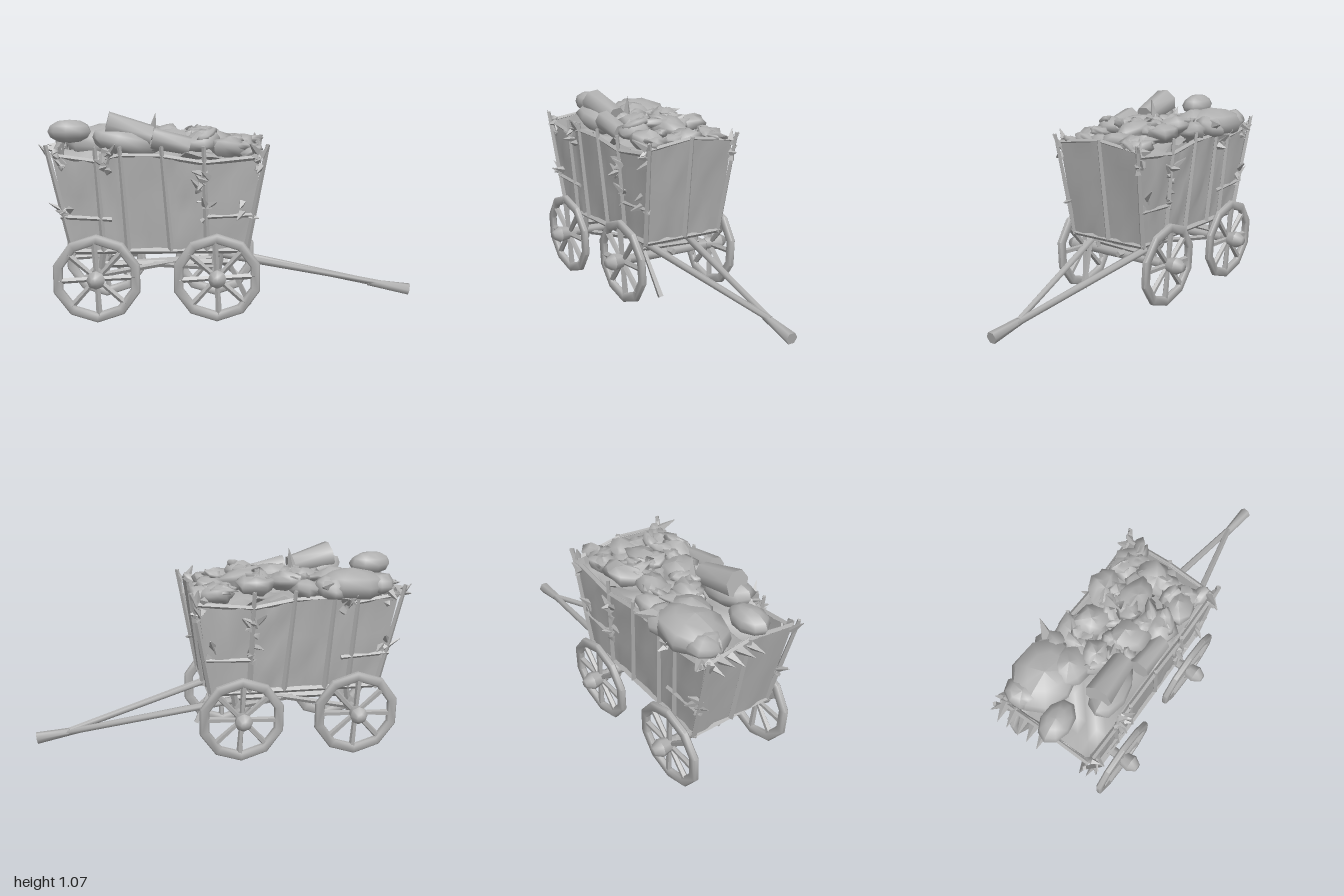
import * as THREE from 'three';
import { toCreasedNormals } from 'three/addons/utils/BufferGeometryUtils.js';

const wood = new THREE.MeshStandardMaterial({ color: 0xb0b0b0, side: THREE.DoubleSide });
wood.name = 'plain grey';
const V = (p) => new THREE.Vector3(...p);
const UP = new THREE.Vector3(0, 1, 0);

// Repeatable pseudo-random value in -1..1
function hash(a, b = 0, c = 0) {
  const s = Math.sin(a * 127.1 + b * 311.7 + c * 74.7) * 43758.5453;
  return (s - Math.floor(s)) * 2 - 1;
}

function add(parent, name, geo) {
  const m = new THREE.Mesh(geo, wood);
  m.name = name;
  parent.add(m);
  return m;
}

// Tapered pole from point a to point b
function beam(parent, name, a, b, r0, r1 = r0, sides = 4) {
  const A = V(a), B = V(b), d = B.clone().sub(A);
  const g = toCreasedNormals(new THREE.CylinderGeometry(r1, r0, d.length(), sides), 1.2);
  const m = add(parent, name, g);
  m.position.copy(A).add(B).multiplyScalar(0.5);
  m.quaternion.setFromUnitVectors(UP, d.normalize());
}

// Board with corners bottom a, b and top c (over a), d (over b), slightly warped
function board(parent, name, a, b, c, d, warp = 0.008) {
  const g = new THREE.BoxGeometry(1, 1, 0.016, 4, 5, 1);
  const [A, B, C, D] = [a, b, c, d].map(V);
  const n = B.clone().sub(A).cross(C.clone().sub(A)).normalize();
  const p = g.attributes.position;
  for (let i = 0; i < p.count; i++) {
    const u = p.getX(i) + 0.5, v = p.getY(i) + 0.5;
    const q = A.clone().lerp(B, u).lerp(C.clone().lerp(D, u), v);
    const bump = Math.sin(u * Math.PI) * hash(Math.round(u * 4) + a[0], Math.round(v * 5), a[2]);
    q.addScaledVector(n, p.getZ(i) + warp * bump);
    p.setXYZ(i, q.x, q.y, q.z);
  }
  g.computeVertexNormals();
  add(parent, name, g);
}

// Lumpy bundle
function lump(parent, name, pos, size, rot, seed, rough = 0.16) {
  const g = new THREE.SphereGeometry(1, 9, 6);
  const p = g.attributes.position;
  for (let i = 0; i < p.count; i++) {
    const x = p.getX(i), y = p.getY(i), z = p.getZ(i);
    const k = 1 + rough * hash(Math.round(x * 50) + seed, Math.round(y * 50), Math.round(z * 50));
    p.setXYZ(i, x * k, y * k, z * k);
  }
  g.computeVertexNormals();
  const m = add(parent, name, g);
  m.scale.set(...size);
  m.position.set(...pos);
  m.rotation.set(...rot);
}

// Eight-spoked wheel with a ten-sided rim
function wheel(parent, x, side) {
  const w = new THREE.Group();
  w.name = 'wheel';
  const ring = (r) => Array.from({ length: 10 }, (_, i) => {
    const a = (i + 0.5) * Math.PI / 5;
    return new THREE.Vector2(Math.cos(a) * r, Math.sin(a) * r);
  });
  const rim = new THREE.Shape(ring(0.224));
  rim.holes.push(new THREE.Path(ring(0.19)));
  const g = new THREE.ExtrudeGeometry(rim, { depth: 0.016, bevelEnabled: true, bevelSize: 0.008, bevelThickness: 0.008, bevelSegments: 1 });
  g.translate(0, 0, -0.008);
  add(w, 'rim', toCreasedNormals(g, 0.9));
  for (let i = 0; i < 8; i++) {
    const a = i * Math.PI / 4 + 0.05;
    beam(w, 'spoke', [0, 0, 0], [Math.cos(a) * 0.195, Math.sin(a) * 0.195, 0], 0.013, 0.017, 5);
  }
  w.position.set(x, 0.23, side * 0.286);
  w.rotation.x = side * 0.05;
  parent.add(w);
  // hub swells outward then closes to a blunt tip
  beam(parent, 'hub', [x, 0.235, side * 0.25], [x, 0.235, side * 0.345], 0.03, 0.048, 8);
  beam(parent, 'hubCap', [x, 0.235, side * 0.345], [x, 0.235, side * 0.388], 0.048, 0.022, 8);
}

export function createModel() {
  const cart = new THREE.Group();
  cart.name = 'loadedCart';
  const group = (name) => {
    const g = new THREE.Group();
    g.name = name;
    cart.add(g);
    return g;
  };

  // Running gear
  const gear = group('runningGear');
  for (const x of [-0.68, -0.065]) {
    for (const s of [1, -1]) {
      wheel(gear, x, s);
      beam(gear, 'strut', [x, 0.19, s * 0.165], [x + 0.03, 0.36, s * 0.19], 0.016);
    }
    beam(gear, 'axle', [x, 0.235, -0.28], [x, 0.235, 0.28], 0.028, 0.028, 6);
    add(gear, 'bolster', new THREE.BoxGeometry(0.08, 0.06, 0.12)).position.set(x, 0.325, -0.005);
    beam(gear, 'crossBeam', [x, 0.265, -0.2], [x, 0.285, 0.18], 0.022);
  }
  for (const s of [1, -1]) {
    beam(gear, 'rearBrace', [-0.68, 0.215, s * 0.14], [-0.25, 0.265, s * 0.02], 0.014);
    beam(gear, 'frontBrace', [-0.065, 0.25, s * 0.14], [-0.4, 0.245, s * 0.02], 0.014);
  }
  beam(gear, 'reach', [-0.72, 0.24, 0], [0, 0.25, 0], 0.018);
  beam(gear, 'prop', [0.0, 0.29, 0.19], [0.11, 0.055, 0.155], 0.012, 0.017);

  // Forked drawbar
  const bar = group('drawbar');
  beam(bar, 'shaft', [-0.06, 0.335, 0.18], [0.82, 0.125, -0.02], 0.02, 0.016, 6);
  beam(bar, 'shaft', [-0.06, 0.29, -0.14], [0.84, 0.115, -0.02], 0.021, 0.017, 6);
  beam(bar, 'grip', [0.77, 0.126, -0.02], [0.994, 0.088, -0.008], 0.018, 0.032, 6);

  // Flared box: floor, end boards and side boards
  const box = group('cartBox');
  add(box, 'floor', new THREE.BoxGeometry(0.89, 0.02, 0.46)).position.set(-0.355, 0.36, 0);
  for (const [name, xb, xt] of [['frontEnd', 0.085, 0.16], ['rearEnd', -0.80, -0.89]]) {
    const out = Math.sign(xb);
    for (const s of [1, -1]) {
      board(box, name, [xb, 0.36, 0], [xb, 0.36, s * 0.222], [xt, 0.91, 0], [xt, 0.875, s * 0.252]);
      beam(box, 'cornerPost', [xb, 0.35, s * 0.23], [xt + out * 0.035, 0.915, s * 0.27], 0.017, 0.011);
      beam(box, 'topRail', [xt, 0.905, 0], [xt, 0.87, s * 0.265], 0.012);
    }
    beam(box, 'middlePost', [xb + out * 0.01, 0.36, -0.008], [xt + out * 0.01, 0.915, -0.005], 0.017, 0.012);
    beam(box, 'sill', [xb, 0.36, -0.24], [xb, 0.36, 0.235], 0.018);
  }
  // bottom x, top x and top height at each side post
  const posts = [[-0.80, -0.89, 0.86], [-0.645, -0.68, 0.83], [-0.52, -0.555, 0.86], [-0.30, -0.345, 0.855], [-0.115, -0.13, 0.82], [0.085, 0.16, 0.85]];
  for (const s of [1, -1]) {
    posts.forEach(([xb, xt, yt], i) => {
      if (i < 5) {
        const [xb2, xt2, yt2] = posts[i + 1];
        board(box, 'sideBoard', [xb, 0.36, s * 0.222], [xb2, 0.36, s * 0.222], [xt, yt, s * 0.255], [xt2, yt2, s * 0.255], 0.012);
        beam(box, 'sideRail', [xt, yt, s * 0.26], [xt2, yt2, s * 0.26], 0.013);
      }
      if (i > 0 && i < 5) beam(box, 'sidePost', [xb, 0.36, s * 0.232], [xt, 0.905, s * 0.27], 0.016, 0.011);
    });
    beam(box, 'sill', [-0.8, 0.362, s * 0.228], [0.09, 0.362, s * 0.228], 0.016);
    beam(box, 'lowRail', [-0.86, 0.545, s * 0.245], [-0.6, 0.53, s * 0.245], 0.012);
    beam(box, 'lowRail', [-0.12, 0.54, s * 0.245], [0.13, 0.55, s * 0.245], 0.012);
  }

  // Splintered wood and twigs around posts and corners
  const thorns = group('splinters');
  const spots = [[-0.62, 0.83, 10], [-0.13, 0.73, 8], [-0.12, 0.57, 5], [-0.84, 0.58, 3], [0.09, 0.57, 3], [0.15, 0.82, 6], [-0.86, 0.83, 5]];
  for (const s of [1, -1]) {
    spots.forEach(([x, y, n], k) => {
      const z = 0.22 + (y - 0.36) * 0.075;
      for (let i = 0; i < n; i++) {
        const h = (j) => hash(k * 13 + i, j, s);
        const a = [x + h(1) * 0.025, y + h(2) * 0.06, s * z];
        const b = [a[0] + h(3) * 0.05, a[1] + h(4) * 0.05 + 0.015, s * (z + 0.035 + h(5) * 0.03)];
        beam(thorns, 'splinter', a, b, 0.023, 0.003);
      }
    });
    beam(thorns, 'splinter', [0.17, 0.85, s * 0.26], [0.2, 0.915, s * 0.28], 0.02, 0.006);
    beam(thorns, 'splinter', [-0.83, 0.57, s * 0.24], [-0.92, 0.62, s * 0.25], 0.022, 0.001);
    beam(thorns, 'splinter', [-0.9, 0.85, s * 0.25], [-0.96, 0.92, s * 0.265], 0.02, 0.001);
  }
  for (let i = 0; i < 5; i++) {
    const z = -0.24 + i * 0.06;
    beam(thorns, 'splinter', [-0.88, 0.87, z], [-0.98, 0.88 + hash(i, 4) * 0.04, z + 0.02], 0.028, 0.001);
  }

  // Load: uneven bed with a hollow at the rear corner
  const load = group('load');
  const bed = new THREE.PlaneGeometry(1.0, 0.48, 14, 8).rotateX(-Math.PI / 2).translate(-0.365, 0, 0);
  const bp = bed.attributes.position;
  for (let i = 0; i < bp.count; i++) {
    const hollow = bp.getX(i) < -0.72 && bp.getZ(i) > 0.05;
    bp.setY(i, (hollow ? 0.76 : 0.845) + 0.035 * hash(i, 7));
  }
  bed.computeVertexNormals();
  add(load, 'loadBed', bed);

  // Large sacks and rolls
  lump(load, 'largeSack', [-0.67, 0.895, -0.16], [0.21, 0.085, 0.16], [0.1, 0.1, 0.03], 3, 0.1);
  lump(load, 'sackFold', [-0.57, 0.915, -0.09], [0.11, 0.06, 0.1], [0.1, 0.5, -0.1], 4, 0.16);
  lump(load, 'sackFold', [-0.8, 0.905, -0.19], [0.09, 0.06, 0.1], [0, 0.4, 0.1], 6, 0.2);
  lump(load, 'sackFold', [-0.55, 0.9, -0.23], [0.09, 0.06, 0.08], [0, -0.3, 0.1], 9, 0.2);
  lump(load, 'roundSack', [-0.83, 0.965, 0.04], [0.115, 0.062, 0.08], [0, 0.1, 0], 5, 0.03);
  beam(load, 'bigRoll', [-0.63, 1.005, 0.135], [-0.4, 0.945, 0.115], 0.073, 0.058, 7);
  lump(load, 'longRoll', [-0.55, 0.915, 0.15], [0.16, 0.07, 0.09], [0, 0.1, -0.2], 8, 0.08);
  beam(load, 'smallRoll', [-0.39, 0.94, 0.2], [-0.2, 0.9, 0.2], 0.055, 0.048, 7);
  // x, y, z, then half sizes of the smaller bundles
  const bundles = [
    [-0.32, 0.93, -0.14, 0.1, 0.05, 0.08], [-0.28, 0.92, 0.05, 0.12, 0.05, 0.1],
    [-0.15, 0.92, 0.16, 0.1, 0.05, 0.08], [-0.15, 0.92, -0.18, 0.11, 0.05, 0.09],
    [-0.1, 0.925, -0.03, 0.12, 0.05, 0.08], [0.0, 0.885, 0.16, 0.1, 0.055, 0.08],
    [0.06, 0.88, -0.02, 0.09, 0.05, 0.1], [0.05, 0.875, -0.18, 0.09, 0.045, 0.08],
    [-0.45, 0.9, -0.02, 0.1, 0.07, 0.08], [-0.42, 0.89, -0.2, 0.1, 0.05, 0.08],
  ];
  bundles.forEach(([x, y, z, a, b, c], i) =>
    lump(load, 'bundle', [x, y, z], [a, b, c], [hash(i, 1) * 0.3, hash(i, 2), hash(i, 3) * 0.25], i + 20, 0.22));
  // crumpled scraps lying over the heap
  for (let i = 0; i < 34; i++) {
    const x = -0.17 + hash(i, 11) * 0.3, z = hash(i, 12) * 0.22;
    const y = 0.92 - Math.max(0, x + 0.1) * 0.2 + hash(i, 15) * 0.03;
    lump(load, 'scrap', [x, y, z], [0.07 + hash(i, 13) * 0.02, 0.022, 0.045 + hash(i, 14) * 0.015],
      [hash(i, 16) * 0.5, hash(i, 17) * 3, hash(i, 18) * 0.5], i + 60, 0.4);
  }
  beam(load, 'spike', [-0.52, 0.92, -0.25], [-0.46, 0.94, -0.35], 0.04, 0.001);
  beam(load, 'spike', [-0.4, 0.95, 0.05], [-0.38, 1.06, 0.055], 0.025, 0.001);
  return cart;
}
